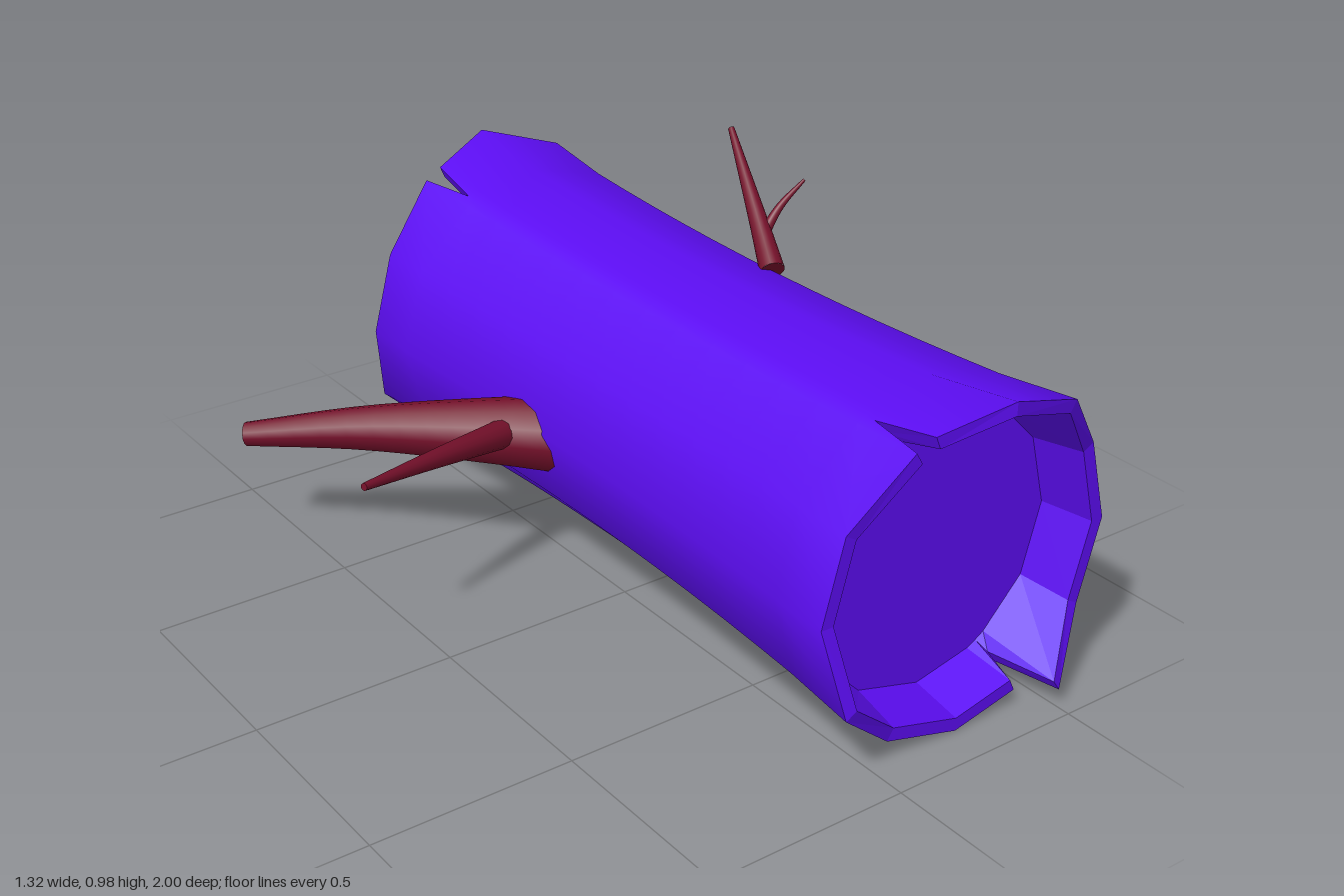
import * as THREE from 'three';

const bark = new THREE.MeshStandardMaterial({ color: 0x5c0df2 });
const wood = new THREE.MeshStandardMaterial({ color: 0x74102a });

// Columns around the log: [degrees from the top towards +x, half length there]
const COLUMNS = [
  [0, 1.0], [30, 0.963], [60, 0.9], [90, 0.9], [120, 0.9],
  [145.5, 0.97], [150, 0.8], [154.5, 0.9],
  [180, 0.9], [210, 0.9], [240, 0.945], [270, 0.9], [300, 0.9],
  [330, 0.94], [333.5, 0.78], [337, 0.945],
];
const CENTRE_X = 0.25, CENTRE_Y = 0.407, CAP_Z = 0.77, CAP_R = 0.35;

const rimRadius = (len) => 0.407 + Math.max(0, len - 0.9) * 0.36;
const bodyRadius = (z) => 0.383 + 0.04 * z * z;

// Closed skin: rows of [radius, z], each a function of the column's half length
function skin(rows, flat) {
  const pos = [], index = [], n = COLUMNS.length;
  for (const row of rows) {
    for (const [deg, len] of COLUMNS) {
      const a = THREE.MathUtils.degToRad(deg), [r, z] = row(len);
      pos.push(CENTRE_X + r * Math.sin(a), CENTRE_Y + r * Math.cos(a), z);
    }
  }
  for (let i = 0; i < rows.length - 1; i++) {
    for (let j = 0; j < n; j++) {
      const k = (j + 1) % n;
      const a = i * n + j, b = i * n + k, c = a + n, d = b + n;
      index.push(a, c, b, b, c, d);
    }
  }
  let geo = new THREE.BufferGeometry();
  geo.setAttribute('position', new THREE.Float32BufferAttribute(pos, 3));
  geo.setIndex(index);
  if (flat) geo = geo.toNonIndexed();
  geo.computeVertexNormals();
  return geo;
}

// Tapered, slightly bent branch with flat ends
function branch(name, points, r0, r1, segments = 10, sides = 12) {
  const group = new THREE.Group();
  group.name = name;
  const curve = new THREE.CatmullRomCurve3(points.map((p) => new THREE.Vector3(...p)));
  const geo = new THREE.TubeGeometry(curve, segments, 1, sides);
  const pos = geo.attributes.position, v = new THREE.Vector3();
  for (let i = 0; i <= segments; i++) {
    const c = curve.getPointAt(i / segments);
    const r = THREE.MathUtils.lerp(r0, r1, i / segments);
    for (let j = 0; j <= sides; j++) {
      const k = i * (sides + 1) + j;
      v.fromBufferAttribute(pos, k).sub(c).multiplyScalar(r).add(c);
      pos.setXYZ(k, v.x, v.y, v.z);
    }
  }
  group.add(new THREE.Mesh(geo, wood));
  for (const [t, r, sign] of [[0, r0, -1], [1, r1, 1]]) {
    const cap = new THREE.Mesh(new THREE.CircleGeometry(r, sides), wood);
    cap.position.copy(curve.getPointAt(t));
    cap.quaternion.setFromUnitVectors(
      new THREE.Vector3(0, 0, 1), curve.getTangentAt(t).multiplyScalar(sign));
    group.add(cap);
  }
  group.children.forEach((m) => { m.name = name + 'Part'; });
  return group;
}

export function createModel() {
  const model = new THREE.Group();
  model.name = 'hollowLog';
  const add = (name, geo) => {
    const mesh = new THREE.Mesh(geo, bark);
    mesh.name = name;
    model.add(mesh);
  };

  // Bark: waisted body flaring to the ragged ends
  const body = [];
  for (let i = -6; i <= 6; i++) {
    const z = i * 0.125;
    body.push(() => [bodyRadius(z), z]);
  }
  add('bark', skin([
    (len) => [rimRadius(len), -len], ...body, (len) => [rimRadius(len), len],
  ]));

  // Both ends: broken rim, short inner wall and recessed end face
  for (const s of [1, -1]) {
    const side = s > 0 ? 'front' : 'back';
    const outer = (len) => [rimRadius(len), s * len];
    const inner = (len) => [rimRadius(len) - 0.033, s * len];
    const deep = () => [CAP_R, s * CAP_Z];
    const centre = () => [0, s * CAP_Z];
    const order = (rows) => (s > 0 ? rows : rows.reverse());
    add(side + 'Rim', skin(order([outer, inner]), true));
    add(side + 'InnerWall', skin(order([inner, deep]), true));
    add(side + 'EndFace', skin(order([deep, centre]), true));
  }

  // Large side branch with its offshoot
  model.add(branch('largeBranch',
    [[-0.03, 0.37, -0.17], [-0.15, 0.37, -0.28], [-0.4, 0.345, -0.54], [-0.615, 0.303, -0.755]],
    0.097, 0.03, 12));
  model.add(branch('largeBranchOffshoot',
    [[-0.19, 0.392, -0.238], [-0.42, 0.428, -0.163], [-0.655, 0.465, -0.08]], 0.036, 0.009));

  // Small upper twig with its offshoot
  model.add(branch('twig',
    [[0.443, 0.738, -0.01], [0.485, 0.805, -0.11], [0.575, 0.974, -0.345]], 0.031, 0.008));
  model.add(branch('twigOffshoot',
    [[0.485, 0.79, -0.1], [0.54, 0.85, -0.105], [0.61, 0.905, -0.1]], 0.015, 0.004));

  return model;
}
